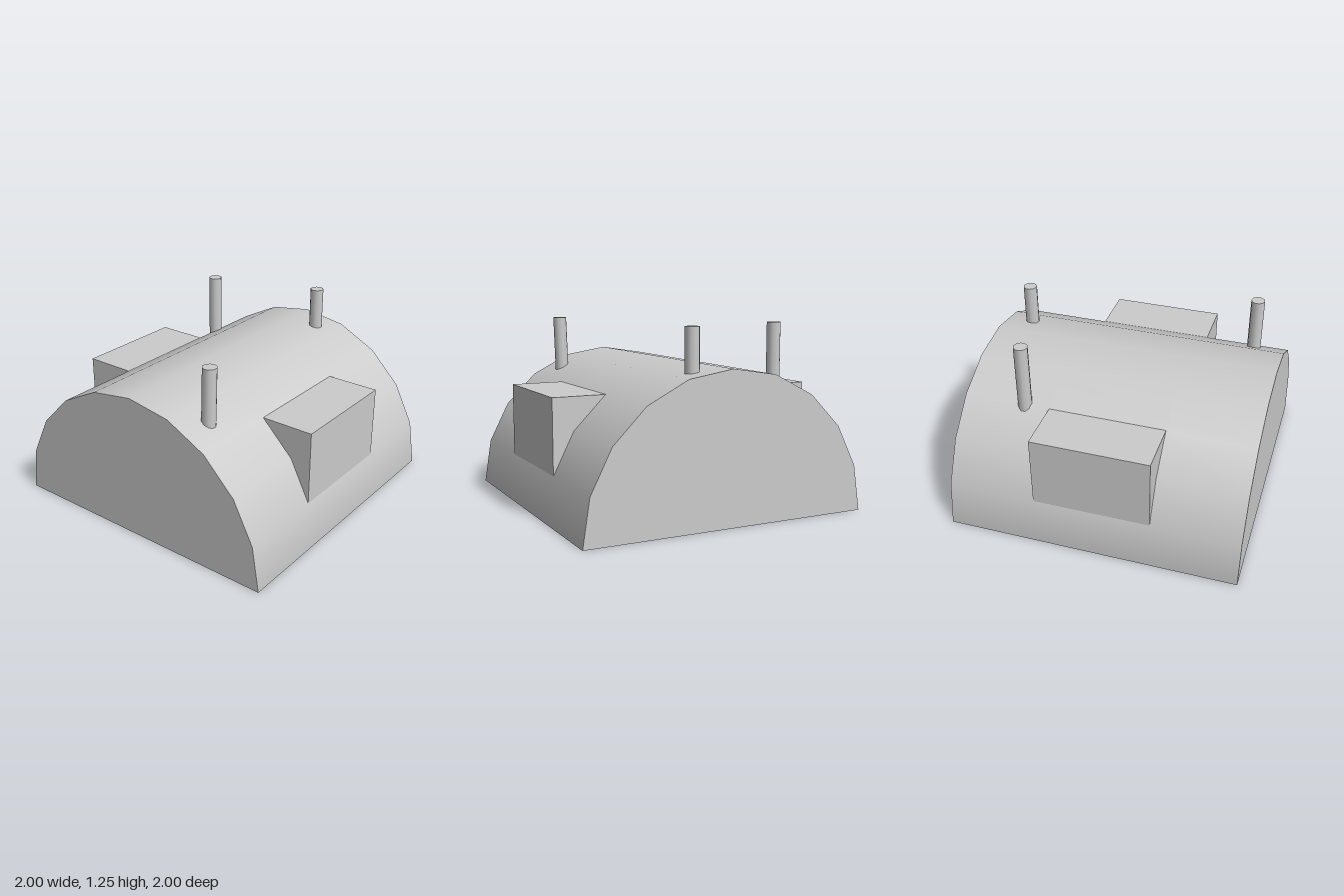
import * as THREE from 'three';

const STEP = Math.PI / 10; // the vault is half of a 20-sided cylinder
const material = new THREE.MeshStandardMaterial({ color: 0xcccccc, side: THREE.DoubleSide });

function add(parent, name, geometry) {
  const mesh = new THREE.Mesh(geometry, material);
  mesh.name = name;
  parent.add(mesh);
  return mesh;
}

// Curved strip of the vault between two facet indices and two depths
function vaultStrip(from, to, z0, z1) {
  const g = new THREE.CylinderGeometry(1, 1, z1 - z0, to - from, 1, true,
    Math.PI / 2 + from * STEP, (to - from) * STEP);
  return g.rotateX(Math.PI / 2).translate(0, 0, (z0 + z1) / 2);
}

// Height of the faceted vault above a given x
function vaultHeight(x) {
  const i = Math.min(9, Math.floor(Math.acos(THREE.MathUtils.clamp(x, -1, 1)) / STEP));
  const a = i * STEP, b = a + STEP;
  const t = (x - Math.cos(a)) / (Math.cos(b) - Math.cos(a));
  return THREE.MathUtils.lerp(Math.sin(a), Math.sin(b), t);
}

// Box dormer, open towards the inside of the vault
function makeDormer(name) {
  const dormer = new THREE.Group();
  dormer.name = name;
  const [low, mid, high] = [1, 2, 3].map(
    i => new THREE.Vector2(Math.cos(i * STEP), Math.sin(i * STEP)));
  const cheek = new THREE.Shape([low, new THREE.Vector2(low.x, high.y), high, mid]);
  add(dormer, 'dormerFrontCheek', new THREE.ShapeGeometry(cheek)).position.z = 0.4;
  const back = new THREE.ShapeGeometry(cheek).scale(-1, 1, 1);
  // scaling flips the winding, the half turn restores x and faces it backwards
  back.index.array.reverse();
  add(dormer, 'dormerBackCheek', back.rotateY(Math.PI).translate(0, 0, -0.4));
  add(dormer, 'dormerRoof', new THREE.PlaneGeometry(low.x - high.x, 0.8)
    .rotateX(-Math.PI / 2).translate((low.x + high.x) / 2, high.y, 0));
  add(dormer, 'dormerWall', new THREE.PlaneGeometry(0.8, high.y - low.y)
    .rotateY(Math.PI / 2).translate(low.x, (low.y + high.y) / 2, 0));
  return dormer;
}

// Chimney pipe whose foot is cut to the vault; lean shifts the foot in x
function makePipe(name, x, z, lean = 0) {
  const pipe = new THREE.Group();
  pipe.name = name;
  const top = 1.255, radius = 0.048;
  const wall = new THREE.CylinderGeometry(radius, radius, 1, 10, 1, true).translate(x, 0, z);
  const p = wall.attributes.position;
  for (let i = 0; i < p.count; i++) {
    if (p.getY(i) > 0) p.setY(i, top);
    else {
      const footX = p.getX(i) + lean;
      p.setXYZ(i, footX, vaultHeight(footX), p.getZ(i));
    }
  }
  add(pipe, 'pipeWall', wall);
  add(pipe, 'pipeCap', new THREE.CircleGeometry(radius, 10, Math.PI / 2)
    .rotateX(-Math.PI / 2).translate(x, top, z));
  return pipe;
}

export function createModel() {
  const model = new THREE.Group();
  model.name = 'vaultedHut';

  // Vault shell: front and back bands, and the middle with openings for the dormers
  add(model, 'vaultFront', vaultStrip(0, 10, 0.4, 1));
  add(model, 'vaultBack', vaultStrip(0, 10, -1, -0.4));
  add(model, 'vaultCrown', vaultStrip(3, 7, -0.4, 0.4));
  add(model, 'vaultLeftFoot', vaultStrip(0, 1, -0.4, 0.4));
  add(model, 'vaultRightFoot', vaultStrip(9, 10, -0.4, 0.4));

  // End walls
  const endWall = new THREE.CircleGeometry(1, 10, 0, Math.PI).translate(0, 0, 1);
  add(model, 'frontWall', endWall);
  add(model, 'backWall', endWall.clone().rotateY(Math.PI));

  // Dormers on both sides
  model.add(makeDormer('leftDormer'));
  const right = makeDormer('rightDormer');
  right.rotation.y = Math.PI;
  model.add(right);

  // Chimney pipes
  model.add(makePipe('frontPipe', 0.455, 0.77, -0.012));
  model.add(makePipe('backPipe', 0.19, -0.82));
  model.add(makePipe('rightPipe', -0.575, -0.575));

  return model;
}
